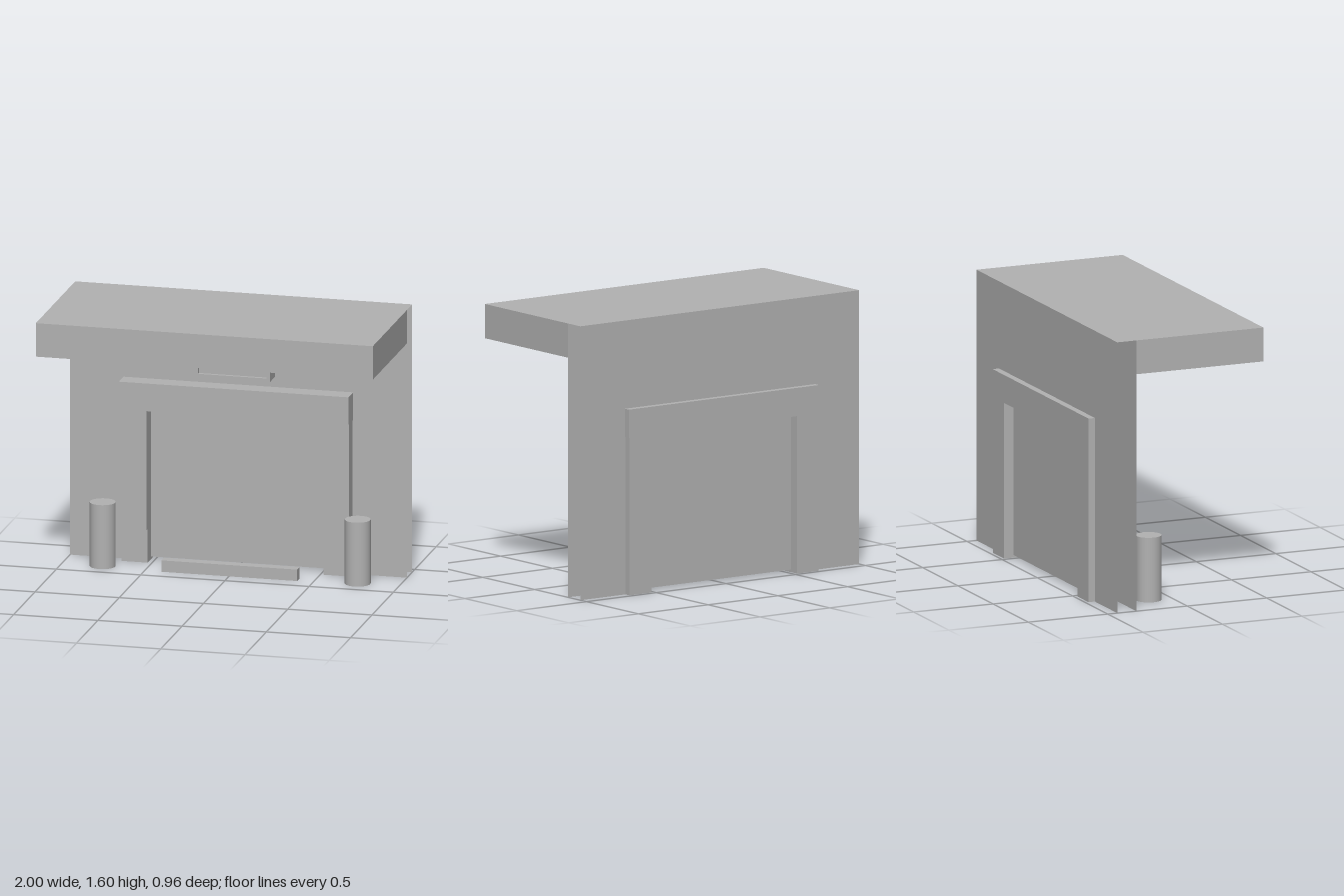
import * as THREE from 'three';

export function createModel() {
  const model = new THREE.Group();
  model.name = 'entrance';
  const grey = new THREE.MeshStandardMaterial({ color: 0xb2b2b2, side: THREE.DoubleSide });
  grey.name = 'plain grey';

  function add(name, geometry, parent = model) {
    const mesh = new THREE.Mesh(geometry, grey);
    mesh.name = name;
    parent.add(mesh);
    return mesh;
  }

  // Box given by its limits; skip lists sides left out (0 +x, 1 -x, 2 +y, 3 -y, 4 +z, 5 -z)
  function box(x0, x1, y0, y1, z0, z1, skip = []) {
    const g = new THREE.BoxGeometry(x1 - x0, y1 - y0, z1 - z0);
    g.translate((x0 + x1) / 2, (y0 + y1) / 2, (z0 + z1) / 2);
    const index = Array.from(g.index.array);
    g.setIndex(index.filter((_, i) => !skip.includes(Math.floor(i / 6))));
    g.clearGroups();
    return g;
  }

  // Wall sheets, cut out around the doorway
  const wall = new THREE.Shape([
    [-1, 0], [-0.525, 0], [-0.525, 0.92], [0.52, 0.92], [0.52, 0],
    [1, 0], [1, 1.6], [-1, 1.6],
  ].map(([x, y]) => new THREE.Vector2(x, y)));
  add('frontWall', new THREE.ShapeGeometry(wall).translate(0, 0, -0.32));
  add('backWall', new THREE.ShapeGeometry(wall).rotateY(Math.PI).scale(-1, 1, 1).translate(0, 0, -0.44));
  add('wallCap', new THREE.PlaneGeometry(2, 0.12).rotateX(-Math.PI / 2).translate(0, 1.6, -0.38));

  // Canopy over the entrance
  add('canopy', box(-1, 1, 1.4, 1.6, -0.32, 0.48, [5]));

  // Door frame: lintel, posts and recessed plinths, open underneath
  const frame = new THREE.Group();
  frame.name = 'doorFrame';
  model.add(frame);
  add('lintel', box(-0.683, 0.68, 0.92, 1.085, -0.48, -0.21), frame);
  for (const [side, x0, x1] of [['right', -0.68, -0.525], ['left', 0.52, 0.677]]) {
    add(side + 'Post', box(x0, x1, 0.2, 0.92, -0.48, -0.238, [2, 3]), frame);
    add(side + 'Plinth', box(x0, x1, 0, 0.2, -0.48, -0.263, [2, 3]), frame);
    add(side + 'PostLedge', new THREE.PlaneGeometry(x1 - x0, 0.025)
      .rotateX(Math.PI / 2).translate((x0 + x1) / 2, 0.2, -0.2505), frame);
  }

  // Door slab set into the frame
  add('door', box(-0.525, 0.52, 0.015, 0.92, -0.42, -0.345));

  // Lamp box with a slightly recessed face
  const lamp = new THREE.Group();
  lamp.name = 'lamp';
  model.add(lamp);
  const x0 = -0.23, x1 = 0.217, y0 = 1.147, y1 = 1.288, rim = 0.02;
  add('lampCase', box(x0, x1, y0, y1, -0.32, -0.2, [4]), lamp);
  const rect = (s, inset) => s.moveTo(x0 + inset, y0 + inset).lineTo(x1 - inset, y0 + inset)
    .lineTo(x1 - inset, y1 - inset).lineTo(x0 + inset, y1 - inset).closePath();
  const border = rect(new THREE.Shape(), 0);
  border.holes.push(rect(new THREE.Path(), rim));
  add('lampRim', new THREE.ShapeGeometry(border).translate(0, 0, -0.2), lamp);
  add('lampFace', box(x0 + rim, x1 - rim, y0 + rim, y1 - rim, -0.22, -0.2, [4]), lamp);

  // Low kerb and bollards in front of the door
  add('kerb', box(-0.4, 0.405, 0, 0.068, -0.155, -0.095));
  for (const [side, x] of [['right', -0.76], ['left', 0.754]]) {
    add(side + 'Bollard', new THREE.CylinderGeometry(0.075, 0.075, 0.382, 40).translate(x, 0.191, -0.137));
  }

  return model;
}
